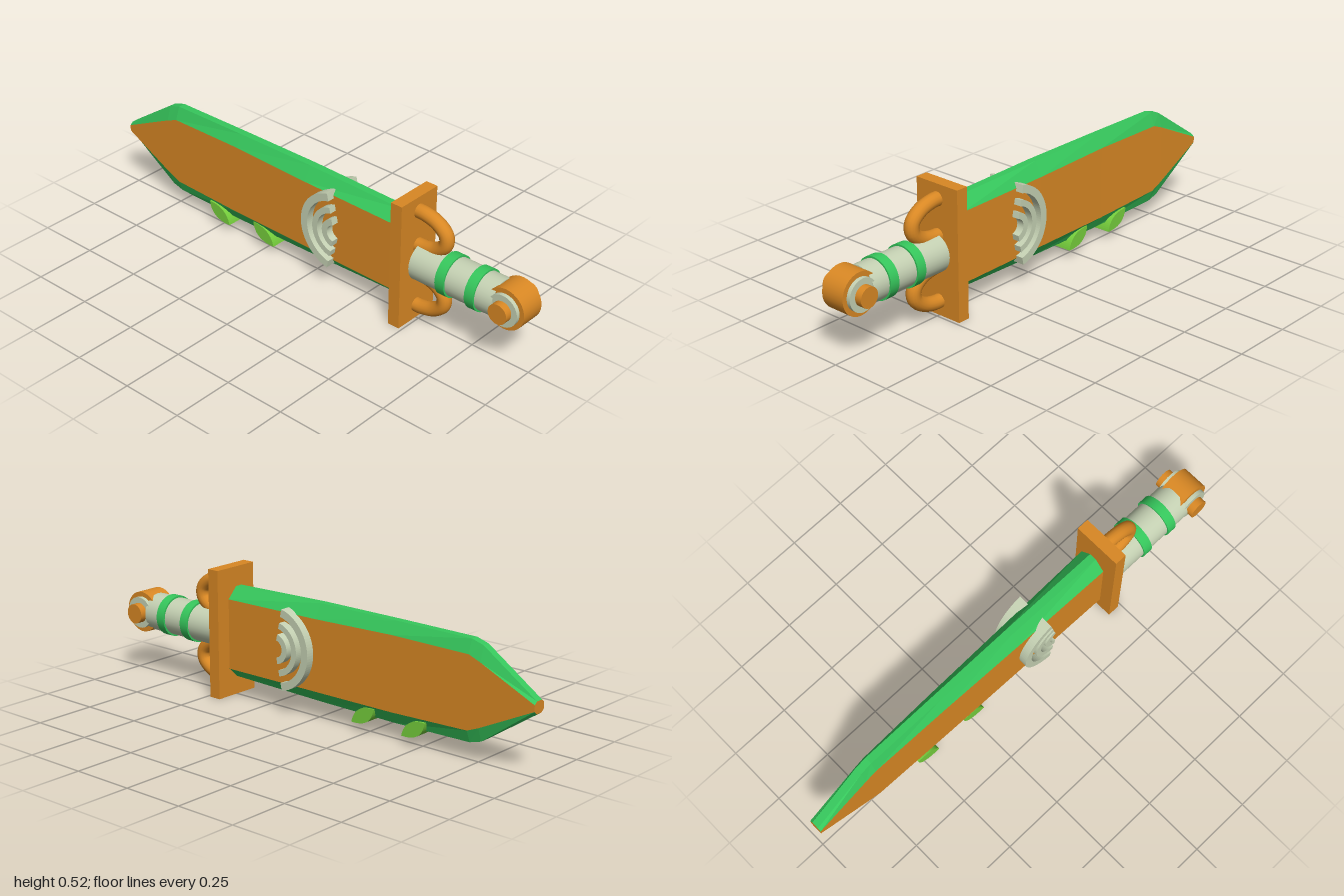
import * as THREE from 'three';

const MID = 0.26; // height of the sword's axis

const makeMaterial = (name, color) => {
  const m = new THREE.MeshStandardMaterial({ color });
  m.name = name;
  return m;
};

// Blade from octagonal sections; the two wide faces and the ends use material 1
function bladeGeometry() {
  // z, outer top, inner top, inner bottom, outer bottom, half width
  const stations = [
    [0.42, 0.447, 0.402, 0.12, 0.08, 0.058],
    [-0.02, 0.457, 0.402, 0.117, 0.07, 0.049],
    [-0.38, 0.457, 0.408, 0.114, 0.066, 0.041],
    [-0.72, 0.455, 0.402, 0.12, 0.071, 0.034],
    [-0.77, 0.44, 0.382, 0.14, 0.085, 0.033],
    [-1, 0.285, 0.274, 0.25, 0.238, 0.028],
  ];
  const rings = stations.map(([z, oT, iT, iB, oB, w]) => {
    const e = 0.015;
    return [[w, iT], [e, oT], [-e, oT], [-w, iT], [-w, iB], [-e, oB], [e, oB], [w, iB]]
      .map(([x, y]) => [x, y, z]);
  });
  const edge = [], face = [];
  for (let i = 0; i < rings.length - 1; i++) {
    for (let k = 0; k < 8; k++) {
      const n = (k + 1) % 8;
      const a = rings[i][k], b = rings[i][n], c = rings[i + 1][n], d = rings[i + 1][k];
      (k % 4 === 3 ? face : edge).push(a, d, c, a, c, b);
    }
  }
  const first = rings[0], last = rings[rings.length - 1];
  for (let k = 1; k < 7; k++) {
    face.push(first[0], first[k], first[k + 1]);
    face.push(last[0], last[k + 1], last[k]);
  }
  const g = new THREE.BufferGeometry();
  g.setAttribute('position', new THREE.Float32BufferAttribute([...edge, ...face].flat(), 3));
  g.computeVertexNormals();
  g.addGroup(0, edge.length, 0);
  g.addGroup(edge.length, face.length, 1);
  return g;
}

// Extrudes a shape drawn in (-z, y) across the blade, centred on x = 0
function extrudeAcross(shape, halfDepth) {
  const g = new THREE.ExtrudeGeometry(shape, { depth: halfDepth * 2, bevelEnabled: false, curveSegments: 20 });
  g.translate(0, 0, -halfDepth);
  g.rotateY(Math.PI / 2);
  return g;
}

export function createModel() {
  const model = new THREE.Group();
  model.name = 'sword';
  const orange = makeMaterial('orange', 0xd98824);
  const green = makeMaterial('green', 0x36c75c);
  const pale = makeMaterial('pale grey', 0xc5d1b3);
  const lime = makeMaterial('leaf green', 0x76cf3c);

  const add = (name, geometry, material, x = 0, y = 0, z = 0) => {
    const mesh = new THREE.Mesh(geometry, material);
    mesh.name = name;
    mesh.position.set(x, y, z);
    model.add(mesh);
    return mesh;
  };

  add('blade', bladeGeometry(), [green, orange]);

  // Guard plate
  add('guard', new THREE.BoxGeometry(0.2, 0.52, 0.05), orange, 0, MID, 0.462);

  // Hooks looping out of the guard, mirrored above and below the grip
  for (const s of [1, -1]) {
    const path = new THREE.CatmullRomCurve3([
      [0.202, 0.47], [0.2, 0.52], [0.183, 0.575], [0.148, 0.613], [0.11, 0.613],
      [0.077, 0.578], [0.062, 0.53], [0.059, 0.48], [0.059, 0.415],
    ].map(([y, z]) => new THREE.Vector3(0, MID + s * y, z)));
    add(s > 0 ? 'upperHook' : 'lowerHook', new THREE.TubeGeometry(path, 40, 0.028, 16), orange);
  }

  // Grip and its bands
  const alongZ = (r, length) => new THREE.CylinderGeometry(r, r, length, 32).rotateX(Math.PI / 2);
  add('grip', alongZ(0.076, 0.37), pale, 0, MID, 0.69);
  for (const z of [0.782, 0.65]) add('gripBand', alongZ(0.083, 0.04), green, 0, MID, z);

  // Pommel: drum, collar and pin on one cross axis
  const alongX = (r, length) => new THREE.CylinderGeometry(r, r, length, 32).rotateZ(Math.PI / 2);
  add('pommelDrum', alongX(0.083, 0.102), orange, 0, MID, 0.917);
  add('pommelCollar', alongX(0.064, 0.134), pale, 0, MID, 0.917);
  add('pommelPin', alongX(0.04, 0.192), orange, 0, MID, 0.917);

  // Three concentric arcs standing out of both blade faces
  const span = 1.36;
  for (const [inner, outer] of [[0.035, 0.06], [0.084, 0.108], [0.134, 0.165]]) {
    const arc = new THREE.Shape();
    arc.absarc(0, 0, outer, -span, span, false);
    arc.absarc(0, 0, inner, span, -span, true);
    add('bladeArc', extrudeAcross(arc, 0.083), pale, 0, MID, 0.155);
  }

  // Leaves under the blade
  const leaf = new THREE.Shape();
  leaf.moveTo(-0.053, -0.035);
  leaf.bezierCurveTo(-0.01, -0.037, 0.045, -0.03, 0.053, 0.036);
  leaf.bezierCurveTo(0.005, 0.037, -0.04, 0.025, -0.053, -0.035);
  for (const z of [-0.246, -0.484]) add('leaf', extrudeAcross(leaf, 0.042), lime, 0, 0.071, z);

  return model;
}
